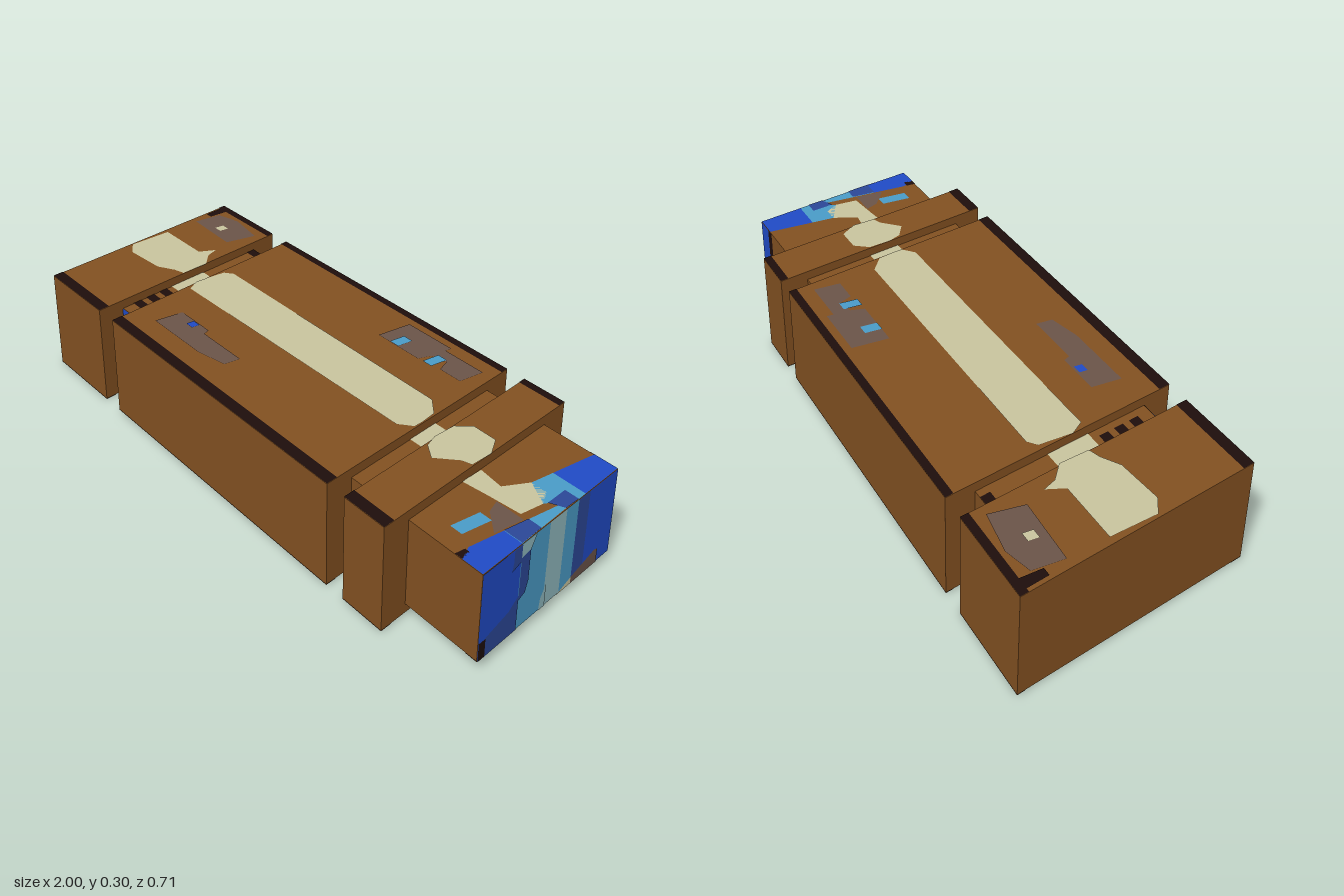
import * as THREE from 'three';

const SLANT = 0.224; // every block leans sideways in x as z grows
const TOP = 0.293, CORE_Z = 0.27, CORE_Y0 = 0.026, CORE_Y1 = 0.267, TIP = 0.937;

export function createModel() {
  const model = new THREE.Group();
  model.name = 'slantedCasing';
  const mat = {};
  const colours = {
    brown: 0x835121, cream: 0xc9c59f, black: 0x1e0e0c, greyBrown: 0x6b5449,
    blue: 0x204bc6, darkBlue: 0x2c4898, lightBlue: 0x4a9cc8, paleBlue: 0x90babf,
  };
  for (const [name, color] of Object.entries(colours)) {
    mat[name] = new THREE.MeshStandardMaterial({ color, side: THREE.DoubleSide });
    mat[name].name = name;
  }

  // Box slanted in plan; x0 and x1 are measured at z = 0
  function block(name, x0, x1, y0, y1, halfZ) {
    const g = new THREE.BoxGeometry(x1 - x0, y1 - y0, halfZ * 2);
    g.translate((x0 + x1) / 2, (y0 + y1) / 2, 0);
    const p = g.attributes.position;
    for (let i = 0; i < p.count; i++) p.setX(i, p.getX(i) + SLANT * p.getZ(i));
    g.computeVertexNormals();
    const m = new THREE.Mesh(g, mat.brown);
    m.name = name;
    model.add(m);
  }

  // Flat painted polygon, mapped from (u, v) on to a face
  function paint(name, colour, pts, map) {
    const g = new THREE.ShapeGeometry(new THREE.Shape(pts.map(([u, v]) => new THREE.Vector2(u, v))));
    const p = g.attributes.position;
    for (let i = 0; i < p.count; i++) p.setXYZ(i, ...map(p.getX(i), p.getY(i)));
    g.computeVertexNormals();
    const m = new THREE.Mesh(g, mat[colour]);
    m.name = name;
    model.add(m);
  }
  const rect = (a, b, c, d) => [[a, c], [b, c], [b, d], [a, d]];
  const slantRect = (a, b, c, d) => [[a + SLANT * c, c], [b + SLANT * c, c], [b + SLANT * d, d], [a + SLANT * d, d]];
  const flat = (y) => (x, z) => [x, y, z];
  const end = (layer) => (z, y) => [TIP + SLANT * z + 0.0015 * layer, y, z];

  // Core and the three outer blocks
  block('core', -0.8, TIP, CORE_Y0, CORE_Y1, CORE_Z);
  const blocks = [['tailBlock', -0.92, -0.632], ['middleBlock', -0.555, 0.472], ['collarBlock', 0.538, 0.686]];
  for (const [name, x0, x1] of blocks) {
    block(name, x0, x1, 0, TOP, 0.357);
    // Dark borders along the long edges, above and below
    for (const y of [TOP + 0.0015, -0.0015]) {
      paint('backBorder', 'black', slantRect(x0, x1, -0.357, -0.333), flat(y));
      paint('frontBorder', 'black', slantRect(x0, x1, 0.322, 0.357), flat(y));
    }
  }

  // Cream centre stripe, above and below
  for (const y of [TOP + 0.002, -0.002]) {
    paint('tailStripe', 'cream', [[-0.92, -0.09], [-0.73, -0.09], [-0.71, -0.14], [-0.69, -0.1], [-0.64, -0.06],
      [-0.625, 0.03], [-0.66, 0.04], [-0.71, 0.07], [-0.85, 0.08], [-0.9, 0.05]], flat(y));
    paint('middleStripe', 'cream', [[-0.555, -0.07], [-0.53, -0.09], [0.4, -0.09], [0.455, -0.05], [0.47, 0],
      [0.475, 0.03], [0.44, 0.06], [-0.52, 0.07], [-0.55, 0.03]], flat(y));
    paint('collarStripe', 'cream', [[0.53, -0.05], [0.56, -0.09], [0.64, -0.09], [0.68, -0.04], [0.69, 0.03],
      [0.66, 0.04], [0.61, 0.09], [0.56, 0.06], [0.54, 0.02]], flat(y));
  }

  // Grey patches with pale blue lights; the underside carries them turned half round
  const backPatch = [[0.04, -0.31], [0.22, -0.31], [0.22, -0.29], [0.37, -0.29], [0.37, -0.21],
    [0.29, -0.21], [0.27, -0.25], [0.22, -0.24], [0.21, -0.2], [0.04, -0.2]];
  const frontPatch = [[-0.4, 0.17], [-0.26, 0.17], [-0.25, 0.19], [-0.07, 0.19], [-0.07, 0.24],
    [-0.17, 0.26], [-0.4, 0.26]];
  for (const [s, y, lift] of [[1, TOP, 0.002], [-1, 0, -0.002]]) {
    const place = (layer) => (x, z) => [s > 0 ? x : -0.08 - x, y + lift * layer, s * z];
    paint('backPatch', 'greyBrown', backPatch, place(1));
    paint('frontPatch', 'greyBrown', frontPatch, place(1));
    paint('patchLight', 'lightBlue', rect(0.09, 0.125, -0.25, -0.2), place(2));
    paint('patchLight', 'lightBlue', rect(0.23, 0.265, -0.255, -0.2), place(2));
    paint('patchSpot', 'blue', rect(-0.33, -0.3, 0.175, 0.2), place(2));
  }
  paint('tailPatch', 'greyBrown', [[-0.94, -0.3], [-0.86, -0.32], [-0.73, -0.3], [-0.74, -0.2], [-0.94, -0.21]], flat(TOP + 0.002));
  paint('tailSpot', 'cream', rect(-0.855, -0.825, -0.26, -0.23), flat(TOP + 0.004));
  paint('tailCorner', 'black', [[-0.985, -0.335], [-0.95, -0.335], [-0.945, -0.27], [-0.97, -0.27]], flat(TOP + 0.0025));

  // Markings in the narrow gaps
  const gapTop = flat(CORE_Y1 + 0.0015);
  paint('tailGapStripe', 'cream', slantRect(-0.632, -0.555, -0.05, 0.08), gapTop);
  for (const z of [-0.27, 0.1, 0.15, 0.2]) {
    paint('tailGapMark', 'black', slantRect(-0.632, -0.58, z, z + 0.03), gapTop);
  }
  paint('collarGapStripe', 'cream', slantRect(0.472, 0.538, -0.05, 0.05), gapTop);
  paint('gapUnderside', 'blue', slantRect(-0.632, -0.555, -0.27, 0.27), flat(CORE_Y0 - 0.0015));
  const front = (x, y) => [x, y, CORE_Z + 0.0015];
  paint('gapFront', 'blue', rect(-0.572, -0.53, CORE_Y0, CORE_Y1), front);
  paint('gapFrontEdge', 'black', rect(-0.53, -0.494, CORE_Y0, CORE_Y1), front);

  // Tip, upper face
  const y1 = CORE_Y1 + 0.0015, y2 = y1 + 0.0015;
  paint('tipBackBlue', 'blue', [[0.8, -0.27], [0.876, -0.27], [0.908, -0.13], [0.8, -0.13]], flat(y1));
  paint('tipLight', 'lightBlue', [[0.8, -0.13], [0.908, -0.13], [0.915, -0.1], [0.88, -0.02], [0.8, -0.06]], flat(y1));
  paint('tipDark', 'darkBlue', [[0.87, -0.1], [0.915, -0.1], [0.925, -0.05], [0.885, -0.03]], flat(y2));
  paint('tipStripe', 'cream', [[0.69, 0], [0.77, 0.01], [0.8, -0.06], [0.85, -0.06], [0.88, -0.02],
    [0.88, 0.05], [0.78, 0.06], [0.7, 0.07]], flat(y1));
  paint('tipFrontLight', 'lightBlue', [[0.905, -0.13], [0.94, 0.02], [0.965, 0.125], [0.905, 0.125]], flat(y1));
  paint('tipFrontDark', 'darkBlue', [[0.905, 0.05], [0.948, 0.05], [0.965, 0.125], [0.905, 0.125]], flat(y2));
  paint('tipFrontBlue', 'blue', [[0.905, 0.125], [0.965, 0.125], [0.997, 0.27], [0.93, 0.27], [0.905, 0.23]], flat(y1));
  paint('tipGrey', 'greyBrown', [[0.81, 0.06], [0.9, 0.06], [0.9, 0.15], [0.83, 0.1]], flat(y1));
  paint('tipSpot', 'lightBlue', rect(0.82, 0.86, 0.12, 0.21), flat(y1));
  paint('tipMark', 'black', rect(0.905, 0.93, 0.24, 0.27), flat(y1));

  // Tip, lower face and back face
  paint('tipUnderStripe', 'cream', slantRect(0.7, 0.86, -0.03, 0.07), flat(CORE_Y0 - 0.0015));
  paint('tipUnderEdge', 'black', slantRect(0.9, TIP, -0.27, 0.27), flat(CORE_Y0 - 0.0015));
  const back = (x, y) => [x, y, -CORE_Z - 0.0015];
  paint('tipBackPanel', 'blue', rect(0.815, 0.876, CORE_Y0, CORE_Y1), back);
  paint('tipBackEdge', 'black', rect(0.785, 0.815, CORE_Y0, CORE_Y1), back);

  // End face: upright bands, then smaller markings on top
  const bands = [['blue', 0.125, 0.27], ['lightBlue', 0.015, 0.125], ['paleBlue', -0.052, 0.015],
    ['lightBlue', -0.102, -0.052], ['darkBlue', -0.15, -0.102], ['blue', -0.27, -0.15]];
  for (const [colour, a, b] of bands) paint('endBand', colour, rect(a, b, CORE_Y0, CORE_Y1), end(1));
  paint('endUpperShade', 'darkBlue', [[0.27, 0.195], [0.155, 0.235], [0.155, 0.267], [0.125, 0.267],
    [0.125, 0.22], [0.16, 0.21]].slice(1), end(2));
  paint('endLowerShade', 'darkBlue', [[0.245, 0.026], [0.125, 0.026], [0.125, 0.125], [0.16, 0.1], [0.245, 0.08]], end(2));
  paint('endMiddleShade', 'darkBlue', [[0.125, 0.11], [0.1, 0.12], [0.09, 0.15], [0.09, 0.235], [0.125, 0.23]], end(2));
  paint('endPaleCorner', 'paleBlue', [[0.125, 0.23], [0.09, 0.235], [0.07, 0.267], [0.125, 0.267]], end(2));
  paint('endPaleFoot', 'paleBlue', [[0.035, 0.026], [0.01, 0.026], [0.01, 0.09], [0.03, 0.06]], end(2));
  paint('endGreyWedge', 'greyBrown', [[-0.09, 0.026], [-0.213, 0.026], [-0.213, 0.065], [-0.2, 0.07], [-0.1, 0.045]], end(2));
  paint('endCreamWedge', 'cream', [[-0.04, 0.026], [-0.1, 0.026], [-0.1, 0.045]], end(2));
  paint('endDarkCorner', 'black', rect(0.245, 0.27, 0.026, 0.077), end(2));
  return model;
}
